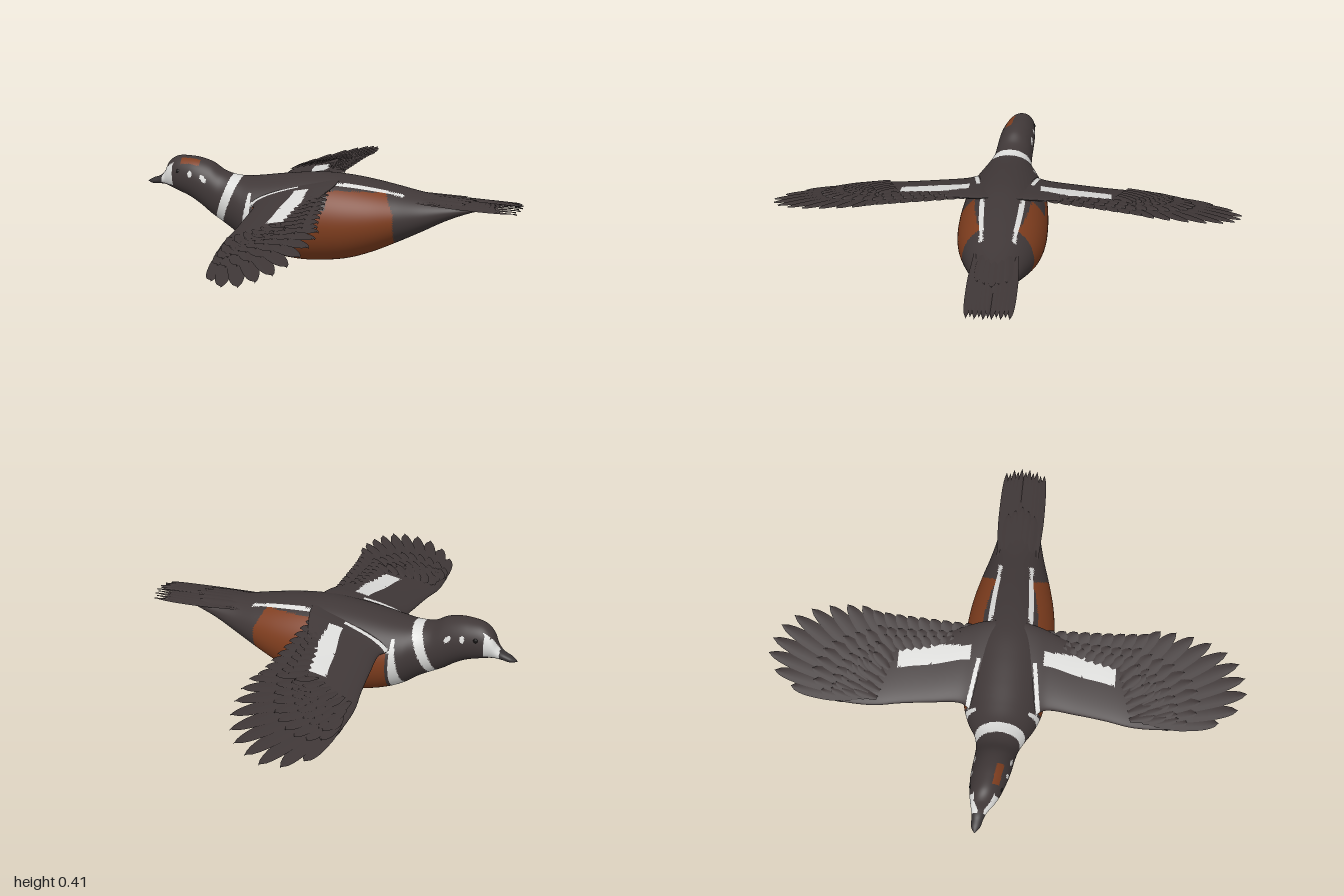
import * as THREE from 'three';
import { mergeGeometries } from 'three/addons/utils/BufferGeometryUtils.js';

const mat = (name, color, side = THREE.FrontSide) => {
  const m = new THREE.MeshStandardMaterial({ color, side });
  m.name = name;
  return m;
};

// Body cross-sections from bill to rump: x, top, bottom, half width, centre z
const BODY = [
  [-0.81, 0.281, 0.279, 0.001, -0.062], [-0.785, 0.296, 0.272, 0.018, -0.06],
  [-0.75, 0.31, 0.274, 0.024, -0.055], [-0.725, 0.335, 0.274, 0.033, -0.05],
  [-0.7, 0.381, 0.268, 0.047, -0.042], [-0.66, 0.407, 0.255, 0.062, -0.034],
  [-0.6, 0.411, 0.233, 0.074, -0.025], [-0.55, 0.406, 0.203, 0.079, -0.018],
  [-0.5, 0.391, 0.165, 0.081, -0.012], [-0.45, 0.36, 0.135, 0.087, -0.006],
  [-0.4, 0.346, 0.105, 0.105, 0], [-0.35, 0.341, 0.07, 0.133, 0],
  [-0.29, 0.346, 0.04, 0.157, 0], [-0.2, 0.358, 0.012, 0.176, 0],
  [-0.1, 0.369, 0, 0.184, 0], [0, 0.374, 0.004, 0.187, 0],
  [0.1, 0.367, 0.02, 0.184, 0], [0.2, 0.352, 0.054, 0.17, 0],
  [0.3, 0.332, 0.1, 0.144, 0], [0.4, 0.311, 0.15, 0.113, 0],
  [0.5, 0.297, 0.203, 0.088, 0], [0.6, 0.288, 0.245, 0.07, 0],
  [0.68, 0.28, 0.265, 0.04, 0], [0.72, 0.2735, 0.2725, 0.001, 0]];

// Wing arm sections along the span: z, leading x, trailing x, half thickness
const ARM = [
  [0.06, -0.33, 0.06, 0.028], [0.12, -0.31, 0.05, 0.034], [0.18, -0.275, 0.03, 0.03],
  [0.3, -0.28, -0.01, 0.024], [0.42, -0.29, -0.03, 0.02], [0.52, -0.303, -0.08, 0.017],
  [0.6, -0.303, -0.15, 0.013], [0.68, -0.295, -0.22, 0.009], [0.74, -0.275, -0.25, 0.003]];

// Catmull-Rom interpolation of a table of rows, t from 0 to 1
function sample(rows, t) {
  const last = rows.length - 1, f = t * last, i = Math.min(Math.floor(f), last - 1), u = f - i;
  const row = k => rows[Math.max(0, Math.min(last, k))];
  const [a, b, c, d] = [row(i - 1), row(i), row(i + 1), row(i + 2)];
  return b.map((p, k) => p + 0.5 * u * (c[k] - a[k] +
    u * (2 * a[k] - 5 * p + 4 * c[k] - d[k] + u * (3 * (p - c[k]) + d[k] - a[k]))));
}

// Grid surface; paint(x, y, z) returns a material index for each face
function surface(nu, nv, closed, flip, point, paint = () => 0) {
  const pos = [], buckets = [], cols = closed ? nv : nv + 1;
  for (let i = 0; i <= nu; i++) for (let j = 0; j < cols; j++) pos.push(...point(i / nu, j / nv));
  const tri = (...q) => {
    const mid = k => (pos[q[0] * 3 + k] + pos[q[1] * 3 + k] + pos[q[2] * 3 + k]) / 3;
    const m = paint(mid(0), mid(1), mid(2));
    (buckets[m] ??= []).push(...(flip ? [q[0], q[2], q[1]] : q));
  };
  for (let i = 0; i < nu; i++) for (let j = 0; j < nv; j++) {
    const a = i * cols + j, b = i * cols + (j + 1) % cols;
    tri(a, b, a + cols);
    tri(b, b + cols, a + cols);
  }
  const g = new THREE.BufferGeometry(), index = [];
  g.setAttribute('position', new THREE.Float32BufferAttribute(pos, 3));
  buckets.forEach((b, m) => {
    g.addGroup(index.length, b.length, m);
    for (const k of b) index.push(k);
  });
  g.setIndex(index);
  g.computeVertexNormals();
  return g;
}

// White line along the shoulder, shared by the body and the wing roots
const shoulderLine = (x, z) => x > -0.34 && x < -0.1 &&
  Math.abs(Math.abs(z) - (0.152 - (x + 0.34) * 0.16)) < 0.009;

// Plumage pattern: 0 dark, 1 chestnut, 2 white, 3 bill
function bodyPaint(x, y, z) {
  if (x < -0.738) return 3;
  const across = z + 0.025 - (x + 0.6) * 0.15, side = Math.abs(across), az = Math.abs(z);
  if (x < -0.5) {
    const right = -0.676 + Math.max(0, y - 0.375) * 0.9;
    const left = y < 0.365 ? -0.738 : right - 0.02;
    if (y > 0.285 && y < 0.4 && x > left && x < right && side > 0.012 + Math.max(0, y - 0.33) * 0.5) return 2;
    if (x > -0.635 && x < -0.55 && across > 0.022 && across < 0.05 && y > 0.38) return 1;
    if (Math.hypot((x + 0.588) / 0.01, (y - 0.348) / 0.014) < 1) return 2;
    if (Math.hypot((x + 0.527) / 0.015, (y - 0.334 + (x + 0.527) * 0.6) / 0.012) < 1) return 2;
  }
  if (Math.abs(x + 0.389 - (y - 0.34) * 0.39) < 0.016 + y * 0.02) return 2;
  if (y > 0.055 && y < 0.3 && x > -0.315 - (0.3 - y) * 0.17 && x < -0.303) return 2;
  if (y > 0.25 && shoulderLine(x, z)) return 2;
  if (y > 0.25 && x > 0.05 && x < 0.33 && Math.abs(az - 0.085 + (x - 0.05) * 0.07) < 0.008) return 2;
  const rear = 0.295 - Math.max(0, y - 0.25) * 0.5 - Math.max(0, 0.12 - y) * 0.1;
  const upper = x < 0.02 ? 0.26 : 0.332 - Math.max(0, x - 0.12) * 0.05;
  return x > -0.288 && x < rear && y < upper ? 1 : 0;
}

const wingY = (x, z) => 0.37 - 0.1 * Math.abs(z) + 0.27 * (x - 0.07);
const tailY = (x, z) => 0.297 - 0.055 * (x - 0.4) - 1.6 * z * z;

// Leaf-shaped feather laid on a height rule, with a raised central ridge
function feather(base, tip, width, lift, heightAt, tilt) {
  const dx = tip[0] - base[0], dz = tip[1] - base[1], len = Math.hypot(dx, dz);
  return surface(16, 4, false, true, (t, s) => {
    const v = s * 2 - 1;
    const w = v * width * (0.5 + 0.5 * Math.min(1, t * 2.5)) * Math.pow(1 - t ** 6, 0.7);
    const x = base[0] + dx * t - dz / len * w, z = base[1] + dz * t + dx / len * w;
    return [x, heightAt(x, z) + lift + tilt * v + 0.003 * (1 - Math.abs(v)), z];
  });
}

const mix = (a, b, t) => a.map((p, k) => p + (b[k] - p) * t);

export function createModel() {
  const bird = new THREE.Group();
  bird.name = 'flyingDuck';
  const dark = mat('dark plumage', 0x403838), chestnut = mat('chestnut plumage', 0x7e3d1e);
  const white = mat('white plumage', 0xdcdcda), billGrey = mat('bill grey', 0x383435);
  const vane = mat('flight feather', 0x3f3737, THREE.DoubleSide), eyeBlack = mat('eye black', 0x141212);
  const add = (parent, name, geo, m) => {
    const mesh = new THREE.Mesh(geo, m);
    mesh.name = name;
    parent.add(mesh);
    return mesh;
  };

  // Head, neck and body in one loft
  add(bird, 'body', surface(276, 96, true, false, (t, s) => {
    const [x, top, bottom, half, cz] = sample(BODY, t), a = s * Math.PI * 2;
    return [x, (top + bottom) / 2 + Math.cos(a) * (top - bottom) / 2, cz + Math.sin(a) * half];
  }, bodyPaint), [dark, chestnut, white, billGrey]);

  // Eyes
  for (const s of [1, -1]) {
    const eye = add(bird, s > 0 ? 'leftEye' : 'rightEye', new THREE.SphereGeometry(0.01, 16, 12), eyeBlack);
    eye.position.set(-0.643, 0.353, -0.032 + s * 0.06);
    eye.scale.z = 0.6;
  }

  // Outer primary tips, from the leading edge inwards
  const TIPS = [[-0.245, 0.89], [-0.185, 0.967], [-0.115, 1], [-0.055, 0.987], [0, 0.957],
    [0.04, 0.905], [0.07, 0.835], [0.086, 0.76], [0.094, 0.685]];

  for (const s of [1, -1]) {
    const wing = new THREE.Group();
    wing.name = s > 0 ? 'leftWing' : 'rightWing';
    bird.add(wing);

    // Arm with the white patch
    add(wing, 'wingArm', surface(120, 80, true, s > 0, (t, v) => {
      const [z, lead, trail, thick] = sample(ARM, t), a = v * Math.PI * 2;
      const c = 0.5 - 0.5 * Math.cos(a), x = lead + (trail - lead) * c;
      return [x, wingY(x, z) + Math.sin(a) * thick * (1.1 - 0.5 * c), s * z];
    }, (x, y, z) => {
      const az = Math.abs(z);
      if (y < wingY(x, z)) return 0;
      const patch = az > 0.15 && az < 0.45 && x > -0.11 - (az - 0.15) * 0.14 &&
        x < -0.052 - Math.max(0, az - 0.3) * 0.2;
      return patch || shoulderLine(x, z) ? 1 : 0;
    }), [dark, white]);

    // Base and tip of every flight feather
    const quills = TIPS.map((tip, i) => [mix([-0.275, 0.6], [-0.13, 0.48], i / 8), tip, 0.034]);
    for (let i = 0; i < 11; i++) {
      const t = i / 10;
      quills.push([mix([-0.085, 0.46], [-0.035, 0.1], t), [0.092 - 0.052 * Math.sqrt(t), 0.62 - 0.49 * t], 0.03]);
    }
    const row = (name, reach, width, lift) => add(wing, name, mergeGeometries(quills.map(([b, tip, w]) => {
      const end = mix(b, tip, reach);
      return feather([b[0], s * b[1]], [end[0], s * end[1]], w * width, lift, wingY, s * 0.003);
    })), vane);
    row('flightFeathers', 1, 1, 0);
    row('greaterCoverts', 0.55, 0.85, 0.006);
    row('medianCoverts', 0.34, 0.75, 0.01);
    row('underCoverts', 0.55, 0.9, -0.007);
    row('innerUnderCoverts', 0.34, 0.8, -0.011);

    // Small overlapping feathers on the hand
    const hand = [];
    for (let r = 0; r < 3; r++) for (let i = 0; i < 6; i++) {
      const b = mix([-0.28, 0.52 + r * 0.05], [-0.13 - r * 0.03, 0.47 + r * 0.04], i / 5);
      const tip = [b[0] + 0.03 + i * 0.008, b[1] + 0.1 - i * 0.007];
      hand.push(feather([b[0], s * b[1]], [tip[0], s * tip[1]], 0.019, 0.016 - r * 0.002, wingY, s * 0.003));
    }
    add(wing, 'handCoverts', mergeGeometries(hand), vane);
  }

  // Tail fan
  const tail = [];
  for (let i = 0; i < 11; i++) {
    const k = i / 5 - 1, tip = 0.81 - 0.02 * k * k - (i % 2) * 0.012;
    tail.push(feather([0.38, 0.08 * k], [tip, 0.082 * k], 0.017, 0, tailY, k < 0 ? -0.003 : 0.003));
    if (i % 2) tail.push(feather([0.38, 0.06 * k], [0.62 - 0.05 * Math.abs(k), 0.07 * k], 0.022, 0.006, tailY, 0));
  }
  add(bird, 'tailFeathers', mergeGeometries(tail), vane);

  return bird;
}
